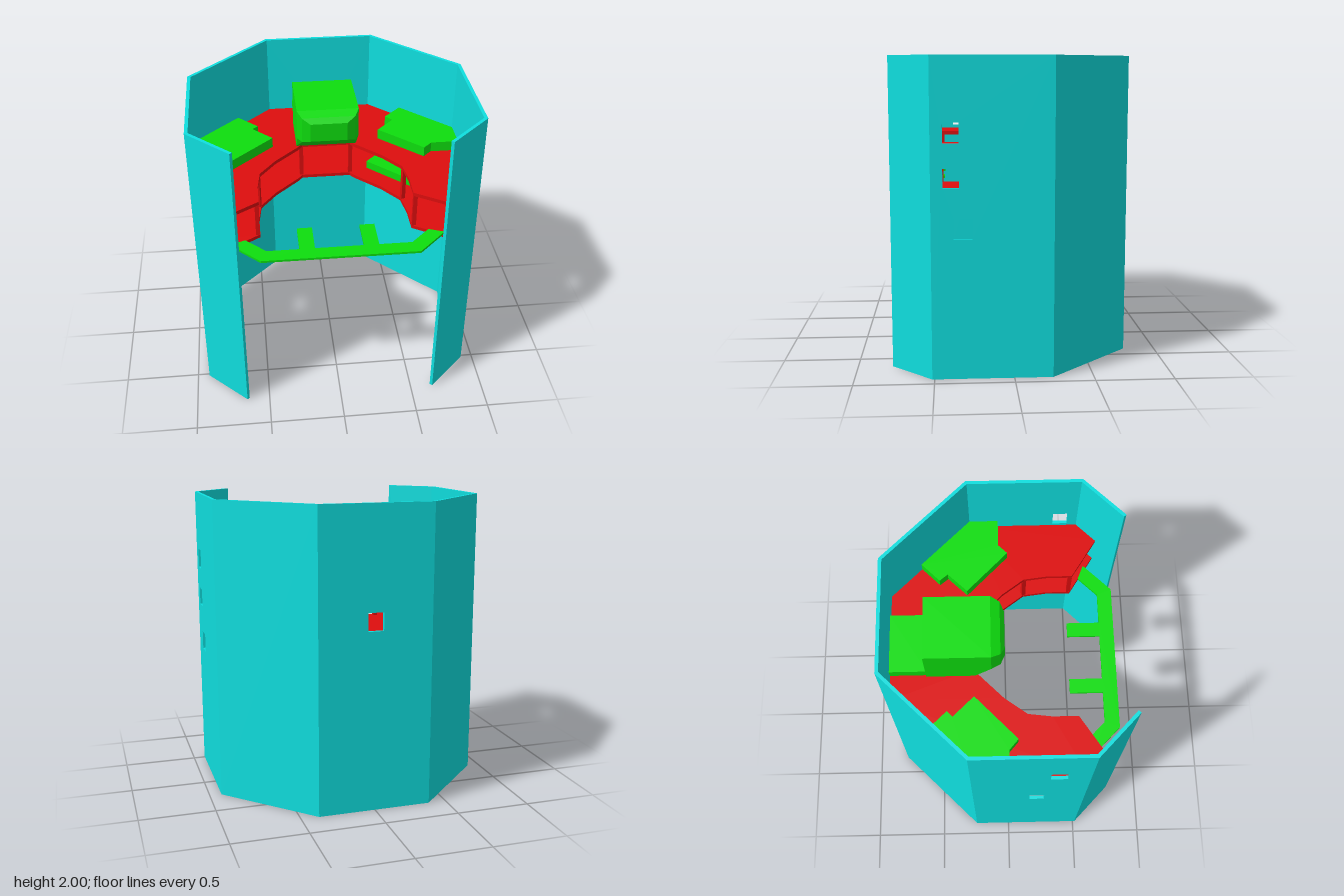
import * as THREE from 'three';
import { ConvexGeometry } from 'three/addons/geometries/ConvexGeometry.js';

const material = (color) => new THREE.MeshStandardMaterial({ color, flatShading: true });

export function createModel() {
  const model = new THREE.Group();
  const teal = material(0x0fdede), red = material(0xdd0e0e), green = material(0x0edd0e);

  const add = (name, geometry, mat) => {
    const mesh = new THREE.Mesh(geometry, mat);
    mesh.name = name;
    model.add(mesh);
    return mesh;
  };
  const toShape = (pts) => new THREE.Shape(pts.map(([x, y]) => new THREE.Vector2(x, y)));
  // Horizontal plate from an [x, z] outline
  const slab = (name, outline, y0, y1, mat) => {
    const g = new THREE.ExtrudeGeometry(toShape(outline.map(([x, z]) => [x, -z])), { depth: y1 - y0, bevelEnabled: false });
    g.rotateX(-Math.PI / 2).translate(0, y0, 0);
    return add(name, g, mat);
  };
  const mirrored = (half) => [...half, ...half.map(([x, z]) => [-x, z]).reverse()];

  // Outer wall: seven upright panels, open at the front
  const corners = mirrored([[0.655, 0.775], [0.92, 0.515], [0.92, -0.245], [0.38, -0.79]]);
  // Window openings per panel: [u0, u1, y0, y1], u measured along the panel
  const windows = {
    1: [[0.075, 0.175, 1.47, 1.6], [0.075, 0.175, 1.2, 1.32], [0.14, 0.255, 0.885, 1.01]],
    3: [[0.325, 0.43, 1.2, 1.32]],
    5: [[0.505, 0.615, 1.47, 1.6], [0.385, 0.485, 0.885, 1.01]],
  };
  const thickness = 0.022;
  for (let i = 0; i < corners.length - 1; i++) {
    const [ax, az] = corners[i], [bx, bz] = corners[i + 1];
    const length = Math.hypot(bx - ax, bz - az);
    const shape = toShape([[0, 0], [length, 0], [length, 2], [0, 2]]);
    for (const [u0, u1, y0, y1] of windows[i] ?? []) {
      shape.holes.push(toShape([[u0, y0], [u0, y1], [u1, y1], [u1, y0]]));
    }
    const g = new THREE.ExtrudeGeometry(shape, { depth: thickness, bevelEnabled: false });
    g.translate(0, 0, -thickness);
    const panel = add('wallPanel', g, teal);
    panel.position.set(ax, 0, az);
    panel.rotation.y = Math.atan2(az - bz, bx - ax);
  }

  // Two horseshoe floors
  const floorOutline = mirrored([
    [0.17, -0.23], [0.2, -0.19], [0.37, -0.02], [0.48, 0.13], [0.5, 0.29], [0.5, 0.46],
    [0.77, 0.635], [0.9, 0.505], [0.9, -0.24], [0.372, -0.77],
  ]);
  slab('lowerFloor', floorOutline, 1.167, 1.19, red);
  slab('upperFloor', floorOutline, 1.422, 1.447, red);

  // Posts along the inner edge
  for (const side of [-1, 1]) {
    for (const [x, z, turn] of [[0.175, -0.25, 0], [0.495, 0.13, 0.3], [0.515, 0.45, 0]]) {
      const post = add('post', new THREE.BoxGeometry(0.027, 0.235, 0.027), red);
      post.position.set(side * x, 1.306, z);
      post.rotation.y = side * turn;
    }
  }

  // Low blocks on the floors
  const leftBlock = [
    [0.575, -0.565], [0.45, -0.44], [0.495, -0.385], [0.37, -0.255],
    [0.65, 0.02], [0.71, -0.04], [0.9, -0.04], [0.9, -0.24],
  ];
  const rightBlock = [
    [-0.605, -0.53], [-0.47, -0.39], [-0.51, -0.355], [-0.375, -0.215],
    [-0.665, 0.065], [-0.735, 0.005], [-0.9, 0.005], [-0.9, -0.24],
  ];
  slab('leftUpperBlock', leftBlock, 1.446, 1.517, green);
  slab('rightUpperBlock', rightBlock, 1.446, 1.517, green);
  slab('leftLowerBlock', [
    [0.575, -0.565], [0.3, -0.28], [0.6, 0.02], [0.9, 0.02], [0.9, -0.24],
  ], 1.189, 1.245, green);

  // Central housing with a bevelled nose and undercut front
  const half = [
    [0.21, 1.446, -0.53], [0.21, 1.78, -0.53], [0.21, 1.78, -0.1], [0.21, 1.57, -0.1],
    [0.18, 1.755, -0.04], [0.18, 1.575, -0.04], [0.125, 1.72, -0.012], [0.125, 1.59, -0.012],
    [0.21, 1.446, -0.21],
  ];
  const points = half.flatMap(([x, y, z]) => [new THREE.Vector3(x, y, z), new THREE.Vector3(-x, y, z)]);
  add('centralHousing', new ConvexGeometry(points), green);
  slab('housingConnector', [[-0.2, -0.768], [0.2, -0.768], [0.2, -0.52], [-0.2, -0.52]], 1.446, 1.517, green);

  // Front walkway with two prongs
  slab('frontWalkway', [
    [-0.7, 0.565], [-0.51, 0.755], [0.51, 0.755], [0.7, 0.565], [0.6, 0.525], [0.47, 0.655],
    [0.255, 0.655], [0.255, 0.43], [0.155, 0.43], [0.155, 0.655],
    [-0.16, 0.655], [-0.16, 0.43], [-0.26, 0.43], [-0.26, 0.655], [-0.47, 0.655], [-0.6, 0.525],
  ], 1.183, 1.198, green);

  return model;
}
